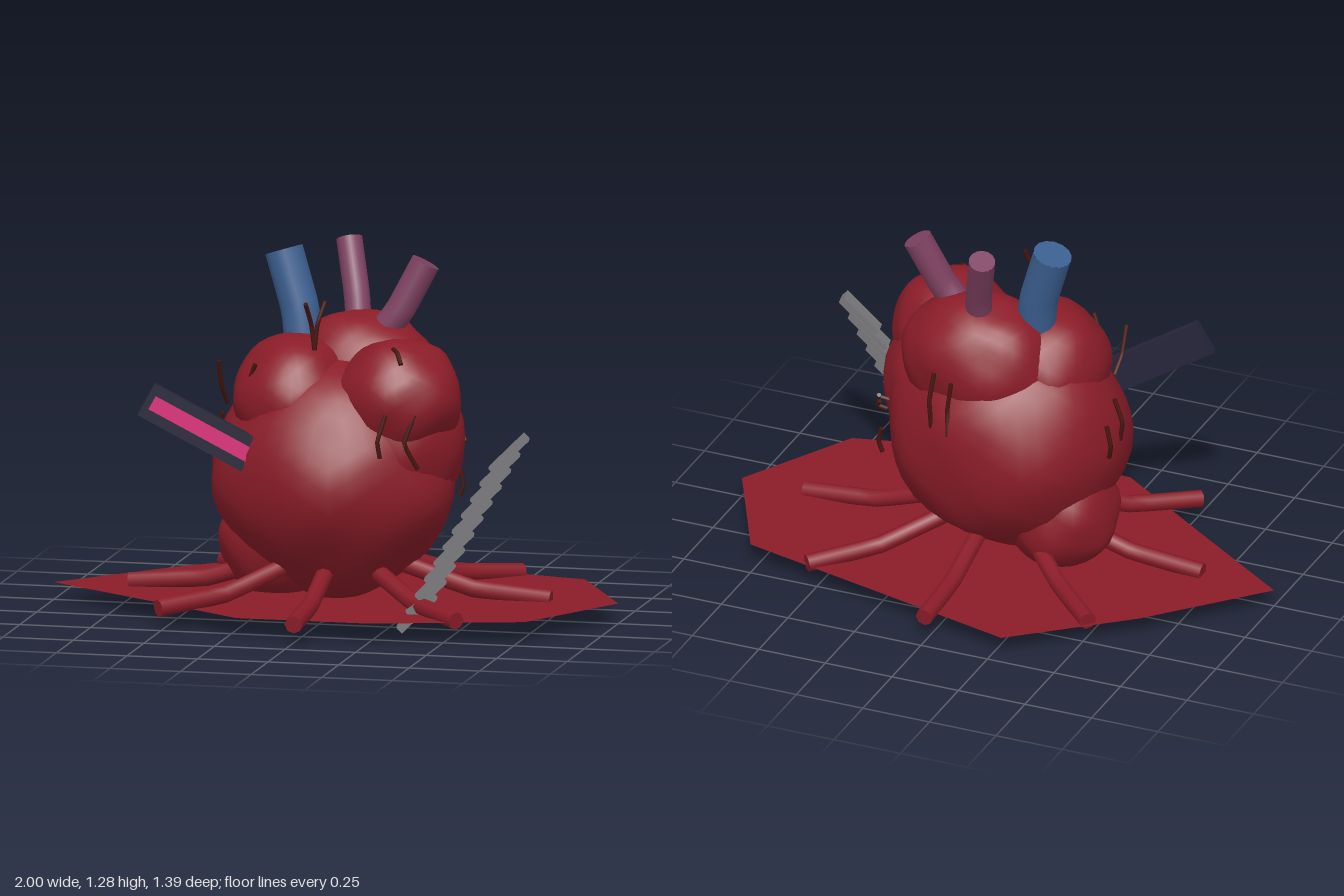
import * as THREE from 'three';
import { mergeVertices } from 'three/addons/utils/BufferGeometryUtils.js';

const mat = (name, color, side = THREE.FrontSide) => {
  const m = new THREE.MeshStandardMaterial({ color, side });
  m.name = name;
  return m;
};
const V = (a) => new THREE.Vector3(...a);

export function createModel() {
  const model = new THREE.Group();
  const flesh = mat('flesh red', 0x8a1c28);
  const ground = mat('ground red', 0x8a1c28, THREE.DoubleSide);
  const blue = mat('vein blue', 0x3b5f90);
  const mauve = mat('artery mauve', 0x7d4060);
  const twigRed = mat('dark twig red', 0x45140f);
  const navy = mat('panel navy', 0x25253a);
  const pink = mat('panel pink', 0xdc2f7a);
  const grey = mat('stair grey', 0x78787a);

  const add = (name, geometry, material, parent = model) => {
    const mesh = new THREE.Mesh(geometry, material);
    mesh.name = name;
    parent.add(mesh);
    return mesh;
  };

  // Bent tube with closed ends, smooth round the sides
  const tube = (name, pts, radius, sides, material) => {
    const group = new THREE.Group();
    group.name = name;
    model.add(group);
    const curve = new THREE.CatmullRomCurve3(pts.map(V), false, 'catmullrom', 0.15);
    add('tubeWall', new THREE.TubeGeometry(curve, 8, radius, sides), material, group);
    for (const t of [0, 1]) {
      const cap = add('tubeEnd', new THREE.CircleGeometry(radius, sides), material, group);
      cap.position.copy(curve.getPointAt(t));
      const out = curve.getTangentAt(t).multiplyScalar(t ? 1 : -1);
      cap.quaternion.setFromUnitVectors(new THREE.Vector3(0, 0, 1), out);
    }
  };

  // Lumpy lobes that together make the heart body; taper narrows the underside
  const lobe = (name, centre, radii, seed, taper = 0) => {
    let g = new THREE.IcosahedronGeometry(1, 6);
    g.deleteAttribute('uv');
    g.deleteAttribute('normal');
    g = mergeVertices(g, 1e-4);
    const p = g.attributes.position;
    const v = new THREE.Vector3();
    for (let i = 0; i < p.count; i++) {
      v.fromBufferAttribute(p, i);
      const bump = Math.sin(v.x * 4 + seed) * Math.sin(v.y * 4.6 + seed * 2) * Math.sin(v.z * 4.3 + seed * 3)
        + 0.4 * Math.abs(Math.sin(v.x * 5 - v.y * 4 + v.z * 3 + seed)) - 0.25;
      const narrow = 1 - taper * Math.min(0, v.y) ** 2;
      v.multiplyScalar(1 + 0.05 * bump);
      p.setXYZ(i, v.x * radii[0] * narrow, v.y * radii[1], v.z * radii[2] * narrow);
    }
    g.computeVertexNormals();
    add(name, g, flesh).position.set(...centre);
  };
  lobe('heartBody', [0, 0.48, 0], [0.43, 0.43, 0.385], 1, 0.25);
  lobe('upperLeftLobe', [0.25, 0.775, 0.1], [0.215, 0.21, 0.205], 2);
  lobe('upperBackLobe', [0.06, 0.805, -0.11], [0.28, 0.235, 0.21], 3);
  lobe('upperRightLobe', [-0.13, 0.755, 0.03], [0.22, 0.22, 0.24], 4);
  lobe('lowerRightLobe', [-0.22, 0.24, -0.05], [0.2, 0.205, 0.2], 5);
  lobe('leftSideLobe', [0.22, 0.61, 0.03], [0.24, 0.27, 0.25], 6);

  // Irregular flat ground sheet
  const outline = [[-1, 0], [-0.6, 0.28], [-0.22, 0.55], [0.25, 0.56], [0.77, 0.42],
    [1, 0], [0.78, -0.43], [-0.28, -0.7], [-0.66, -0.375]];
  const sheet = new THREE.ShapeGeometry(new THREE.Shape(outline.map(([x, z]) => new THREE.Vector2(x, -z))));
  sheet.rotateX(-Math.PI / 2);
  sheet.rotateZ(0.005);
  add('groundSheet', sheet, ground).position.y = 0.066;

  // Eight roots spreading over the ground
  for (let i = 0; i < 8; i++) {
    const a = (i * Math.PI) / 4;
    const at = (r, y) => [0.015 + r * 1.04 * Math.cos(a), y, r * 0.96 * Math.sin(a)];
    tube('root', [at(0.2, 0.185), at(0.32, 0.145), at(0.46, 0.1), at(0.718, 0.076)], 0.031, 8, flesh);
  }

  // Great vessels
  tube('blueVessel', [[-0.12, 0.88, -0.04], [-0.14, 1.04, -0.06], [-0.205, 1.245, -0.085]], 0.068, 14, blue);
  tube('middleVessel', [[0.05, 0.93, -0.13], [0.032, 1.07, -0.18], [-0.015, 1.262, -0.258]], 0.046, 14, mauve);
  tube('leftVessel', [[0.1, 0.92, -0.08], [0.2, 1.04, -0.09], [0.29, 1.215, -0.115]], 0.051, 14, mauve);

  // Thin dark twigs: [root, bend, tip]
  const twigs = [
    [[-0.04, 0.94, 0.15], [-0.05, 1.03, 0.155], [-0.06, 1.11, 0.2]],
    [[-0.04, 0.94, 0.15], [-0.03, 1.03, 0.15], [-0.005, 1.11, 0.135]],
    [[-0.365, 0.73, 0.08], [-0.375, 0.79, 0.12], [-0.378, 0.89, 0.155]],
    [[-0.29, 0.75, 0.15], [-0.27, 0.81, 0.18], [-0.24, 0.89, 0.19]],
    [[0.23, 0.6, 0.31], [0.222, 0.66, 0.315], [0.248, 0.75, 0.305]],
    [[0.355, 0.56, 0.27], [0.31, 0.65, 0.285], [0.345, 0.75, 0.275]],
    [[0.345, 0.89, 0.23], [0.365, 0.85, 0.245], [0.37, 0.81, 0.25]],
    [[0.25, 0.965, 0.2], [0.27, 0.955, 0.22], [0.29, 0.92, 0.25]],
    [[0.14, 0.62, -0.34], [0.15, 0.72, -0.335], [0.14, 0.82, -0.315]],
    [[0.07, 0.61, -0.36], [0.08, 0.7, -0.34], [0.07, 0.8, -0.33]],
    [[0.395, 0.39, -0.175], [0.41, 0.43, -0.175], [0.4, 0.48, -0.175]],
    [[0.38, 0.58, -0.14], [0.42, 0.59, -0.15], [0.415, 0.6, -0.16]],
    [[0.37, 0.57, -0.19], [0.405, 0.58, -0.195], [0.395, 0.6, -0.2]],
    [[-0.425, 0.53, -0.01], [-0.435, 0.6, -0.01], [-0.4, 0.68, 0]],
    [[-0.42, 0.5, -0.09], [-0.43, 0.55, -0.1], [-0.41, 0.62, -0.09]],
  ];
  twigs.forEach((pts) => tube('twig', pts, 0.008, 6, twigRed));

  // Slanted panel with a bright strip on its front
  const panel = new THREE.Group();
  panel.name = 'panel';
  const u = V([0.36, -0.205, -0.09]).normalize();
  const v = V([0.243, 0, 0.97]).cross(u).normalize();
  const n = u.clone().cross(v);
  panel.setRotationFromMatrix(new THREE.Matrix4().makeBasis(u, v, n));
  panel.position.set(-0.585, 0.785, 0.365);
  model.add(panel);
  add('panelBoard', new THREE.BoxGeometry(0.41, 0.125, 0.03), navy, panel).position.x = 0.205;
  add('panelStrip', new THREE.BoxGeometry(0.385, 0.052, 0.004), pink, panel).position.set(0.216, 0, 0.016);

  // Staircase of overlapping slanted slabs
  const stairs = new THREE.Group();
  stairs.name = 'stairs';
  model.add(stairs);
  const count = 11;
  for (let i = 0; i < count; i++) {
    const t = i / (count - 1);
    const step = add('step', new THREE.BoxGeometry(0.17, 0.028, 0.058), grey, stairs);
    step.position.set(0.365 + 0.32 * t, 0.07 + 0.565 * t, 0.325 - 0.026 * t);
    step.rotation.set(0, 0.2, 0.78, 'YXZ');
  }
  return model;
}
